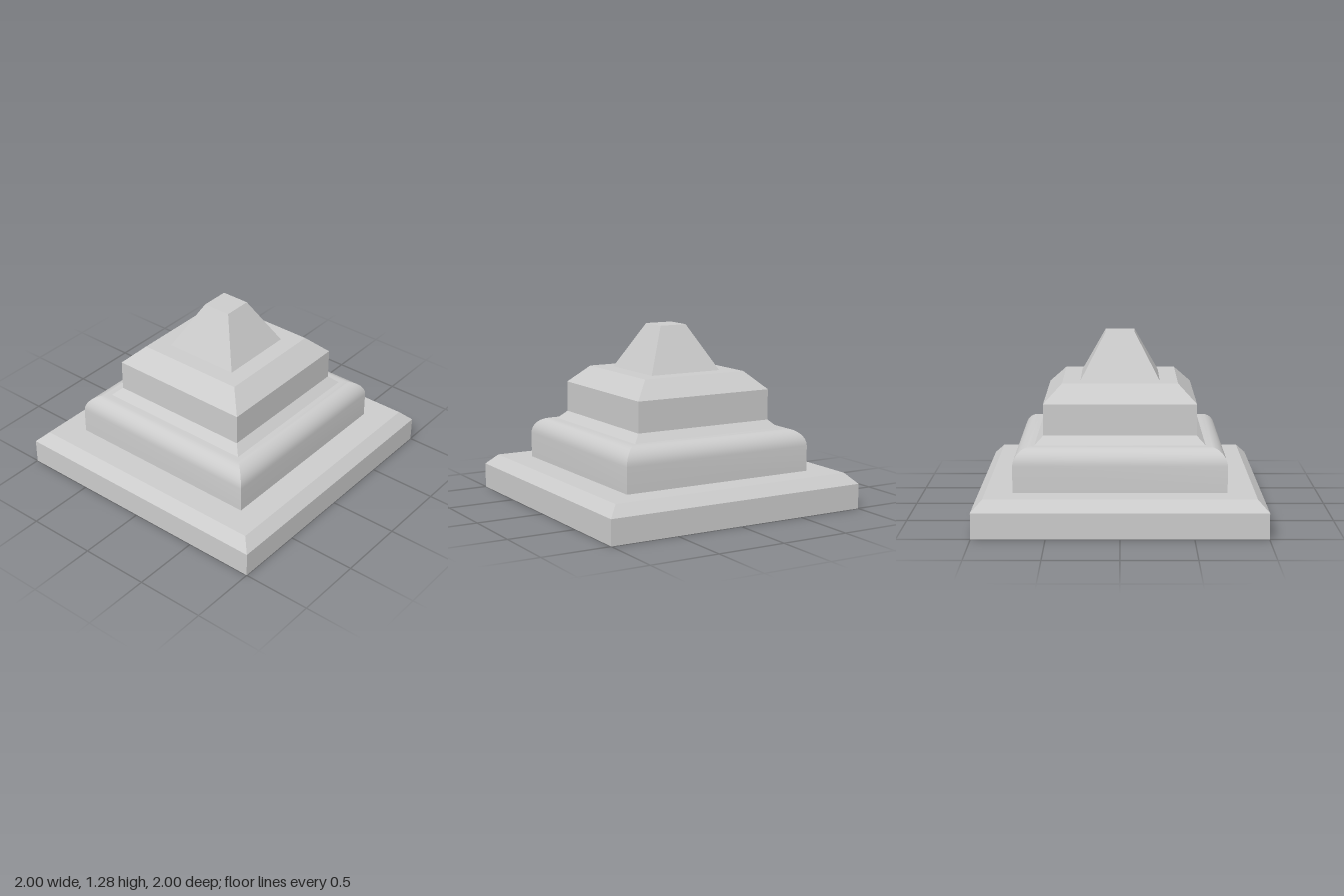
import * as THREE from 'three';
import { toCreasedNormals } from 'three/addons/utils/BufferGeometryUtils.js';

const material = new THREE.MeshStandardMaterial({ color: 0xcccccc });

// Closed square tier from a bottom-to-top profile of [half width, height]
function squareTier(name, profile) {
  const points = [
    [0, profile[0][1]],
    ...profile,
    [0, profile[profile.length - 1][1]],
  ].map(([half, y]) => new THREE.Vector2(half * Math.SQRT2, y));
  const lathe = new THREE.LatheGeometry(points, 4, Math.PI / 4);
  const mesh = new THREE.Mesh(toCreasedNormals(lathe, Math.PI / 9), material);
  mesh.name = name;
  return mesh;
}

// Quarter-round shoulder that turns from vertical to level
function shoulder(half, top, radius, steps) {
  return Array.from({ length: steps + 1 }, (_, i) => {
    const a = (i / steps) * Math.PI / 2;
    return [half - radius + radius * Math.cos(a), top - radius + radius * Math.sin(a)];
  });
}

export function createModel() {
  const group = new THREE.Group();
  group.name = 'steppedPedestal';
  group.add(
    // Wide base with a bevelled upper edge
    squareTier('basePlinth', [[1, 0], [1, 0.18], [0.925, 0.255]]),
    // Second tier with rounded shoulders
    squareTier('roundedTier', [[0.735, 0.255], ...shoulder(0.735, 0.558, 0.12, 8)]),
    // Third tier with a flared foot and a sloped top edge
    squareTier('upperTier', [[0.59, 0.558], [0.532, 0.615], [0.532, 0.835], [0.405, 0.96]]),
    // Truncated pyramid on top
    squareTier('pyramidCap', [[0.28, 0.96], [0.104, 1.285]]),
  );
  return group;
}
